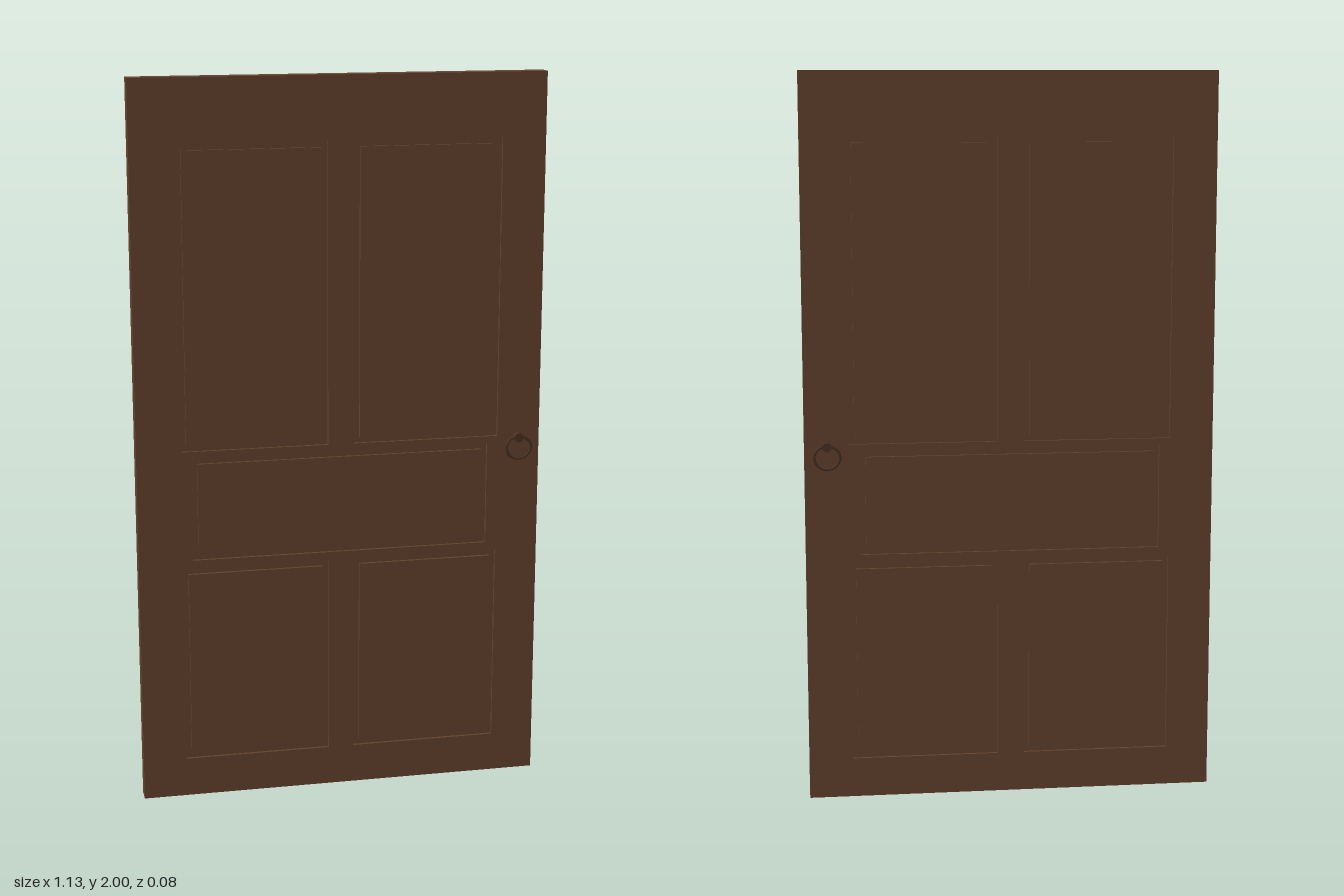
import * as THREE from 'three';

const WIDTH = 1.126, HEIGHT = 2, DEPTH = 0.046;
const GROOVE = 0.016, GROOVE_DEPTH = 0.008;

// Panel openings: left, right, bottom, top
const OPENINGS = [
  [-0.443, -0.036, 1.0, 1.827],
  [0.036, 0.443, 1.0, 1.827],
  [-0.414, 0.414, 0.692, 0.98],
  [-0.443, -0.036, 0.11, 0.668],
  [0.036, 0.443, 0.11, 0.668],
];

function rectangle(path, [l, r, b, t]) {
  path.moveTo(l, b);
  path.lineTo(r, b);
  path.lineTo(r, t);
  path.lineTo(l, t);
  path.closePath();
  return path;
}

export function createModel() {
  const door = new THREE.Group();
  door.name = 'door';
  const wood = new THREE.MeshStandardMaterial({ color: 0x63422c });
  wood.name = 'brown wood';
  const iron = new THREE.MeshStandardMaterial({ color: 0x4a3023 });
  iron.name = 'dark iron';

  const add = (parent, name, geometry, material, x = 0, y = 0, z = 0) => {
    const mesh = new THREE.Mesh(geometry, material);
    mesh.name = name;
    mesh.position.set(x, y, z);
    parent.add(mesh);
    return mesh;
  };

  // Frame with an opening for each panel
  const outline = rectangle(new THREE.Shape(), [-WIDTH / 2, WIDTH / 2, 0, HEIGHT]);
  outline.holes = OPENINGS.map((o) => rectangle(new THREE.Path(), o));
  const frame = new THREE.ExtrudeGeometry(outline, { depth: DEPTH, bevelEnabled: false });
  add(door, 'frame', frame, wood, 0, 0, -DEPTH / 2);

  // Flush panels, each surrounded by a groove on both sides
  for (const [l, r, b, t] of OPENINGS) {
    const w = r - l, h = t - b, x = (l + r) / 2, y = (b + t) / 2;
    add(door, 'grooveFloor', new THREE.BoxGeometry(w, h, DEPTH - 2 * GROOVE_DEPTH), wood, x, y);
    add(door, 'panel', new THREE.BoxGeometry(w - 2 * GROOVE, h - 2 * GROOVE, DEPTH), wood, x, y);
  }

  // Ring pull on each side
  for (const side of [1, -1]) {
    const handle = new THREE.Group();
    handle.name = side > 0 ? 'frontHandle' : 'backHandle';
    handle.position.set(0.502, 0, 0);
    const stem = add(handle, 'stem', new THREE.CylinderGeometry(0.013, 0.013, 0.018, 16), iron, 0, 0.995, side * 0.03);
    stem.rotation.x = Math.PI / 2;
    const ring = add(handle, 'ring', new THREE.TorusGeometry(0.035, 0.004, 8, 32), iron, 0, 0.967, side * 0.035);
    ring.scale.y = 0.92;
    door.add(handle);
  }
  return door;
}
